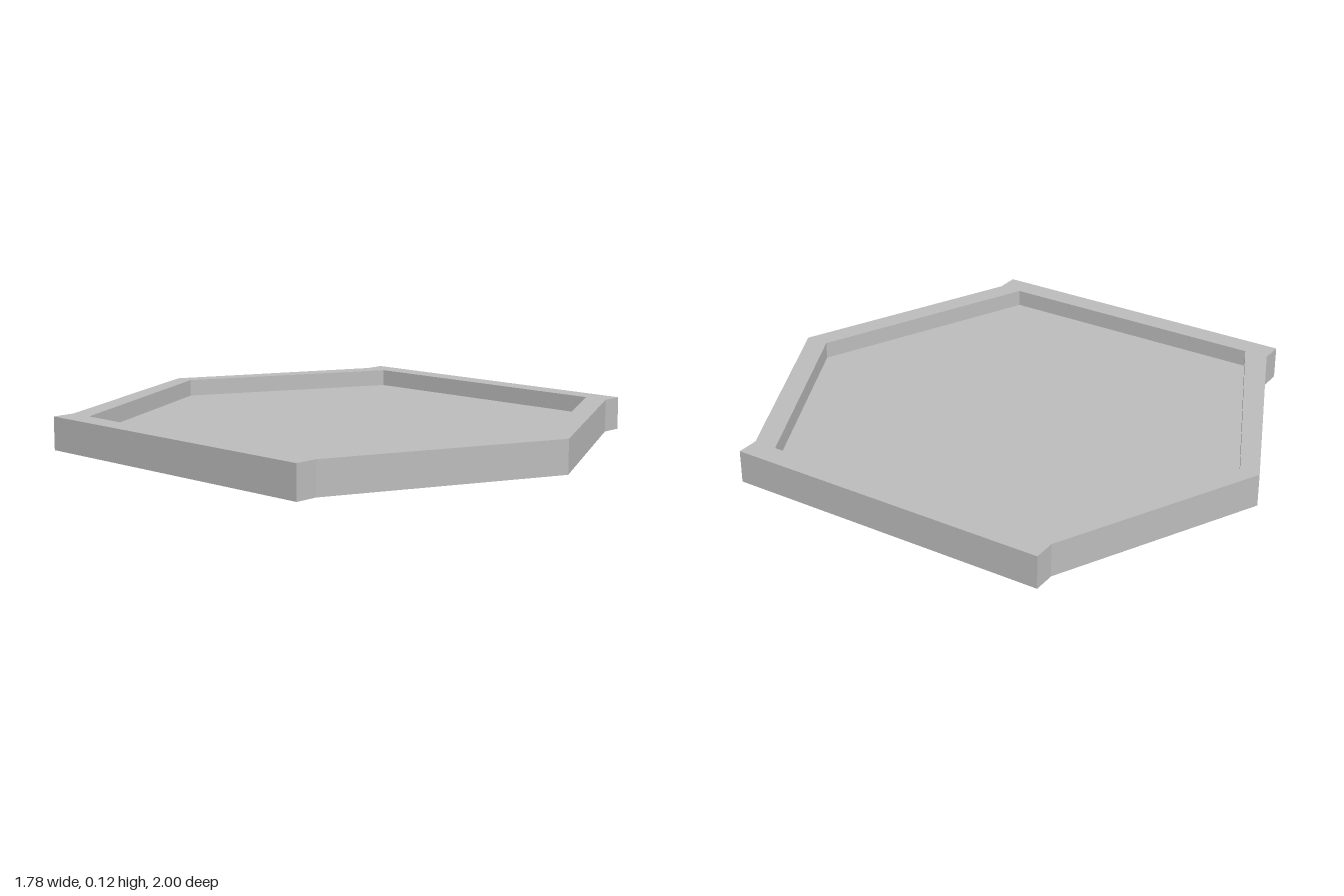
import * as THREE from 'three';

export function createModel() {
  const group = new THREE.Group();
  const grey = new THREE.MeshStandardMaterial({ color: 0xbcbcbc });
  grey.name = 'grey';

  // Outlines as [x, z]
  const apex = 0.04;
  const outer = [
    [apex, 1], [0.803, 0.622], [0.888, 0.622], [0.888, -0.626], [0.803, -0.626],
    [apex, -1], [-0.8, -0.626], [-0.888, -0.626], [-0.888, 0.622], [-0.8, 0.622],
  ];
  const inner = [
    [apex, 0.908], [0.803, 0.531], [0.803, -0.533],
    [apex, -0.925], [-0.8, -0.533], [-0.8, 0.531],
  ];
  const points = (list) => list.map(([x, z]) => new THREE.Vector2(x, -z));

  // Upright slab from an outline lying in the ground plane
  function slab(name, shape, bottom, height) {
    const geometry = new THREE.ExtrudeGeometry(shape, { depth: height, bevelEnabled: false });
    geometry.rotateX(-Math.PI / 2);
    const mesh = new THREE.Mesh(geometry, grey);
    mesh.name = name;
    mesh.position.y = bottom;
    group.add(mesh);
  }

  // Six-sided rim with squared ends on the two long sides
  const rim = new THREE.Shape(points(outer));
  rim.holes.push(new THREE.Path(points(inner)));
  slab('rim', rim, 0, 0.125);

  // Thin floor set halfway up, recessed from above and below
  slab('floorPanel', new THREE.Shape(points(inner)), 0.054, 0.006);

  return group;
}
